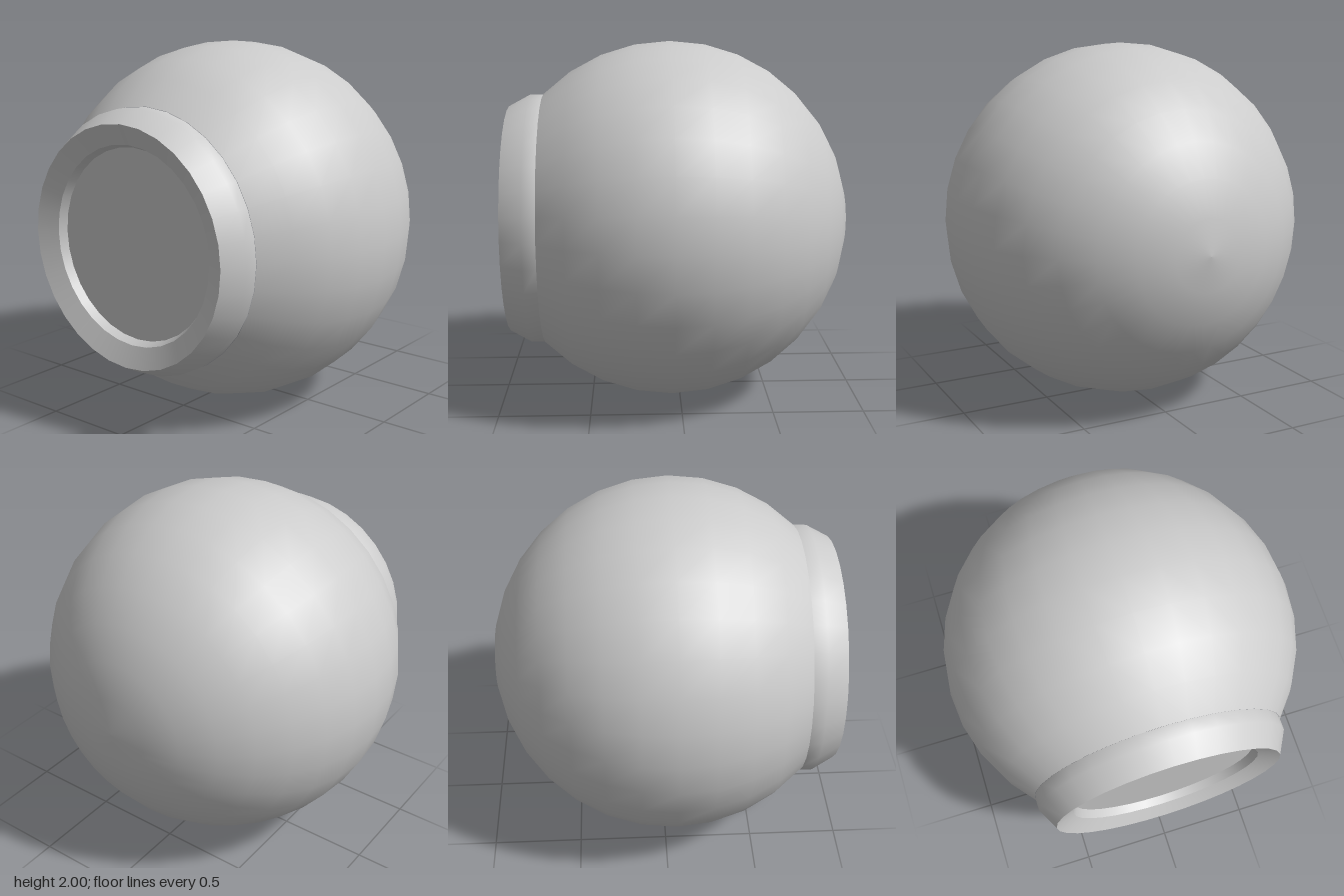
import * as THREE from 'three';

const SEGMENTS = 32;

export function createModel() {
  const model = new THREE.Group();
  const material = new THREE.MeshStandardMaterial({ color: 0xcccccc });

  // Turned part about the z axis; profile is [radius, z] from back to front on outer faces
  const turned = (name, profile) => {
    const geometry = new THREE.LatheGeometry(profile.map(([r, z]) => new THREE.Vector2(r, z)), SEGMENTS);
    geometry.rotateX(Math.PI / 2);
    const mesh = new THREE.Mesh(geometry, material);
    mesh.name = name;
    mesh.position.y = 1;
    model.add(mesh);
  };

  // Round body: sphere open at 45 degrees, where the collar begins
  const body = [];
  for (let i = 0; i <= 12; i++) {
    const a = (i / 16) * Math.PI;
    body.push([Math.sin(a), 0.05 - Math.cos(a)]);
  }
  turned('body', body);

  // Front collar with a bevelled outside
  turned('collar', [[0.705, 0.757], [0.705, 0.83], [0.64, 0.95]]);

  // Sloping inside of the collar, then a steeper step down to the face
  turned('collarInside', [[0.64, 0.95], [0.53, 0.9]]);
  turned('faceStep', [[0.53, 0.9], [0.51, 0.855]]);

  // Flat round face
  turned('face', [[0.51, 0.855], [0, 0.855]]);

  return model;
}
